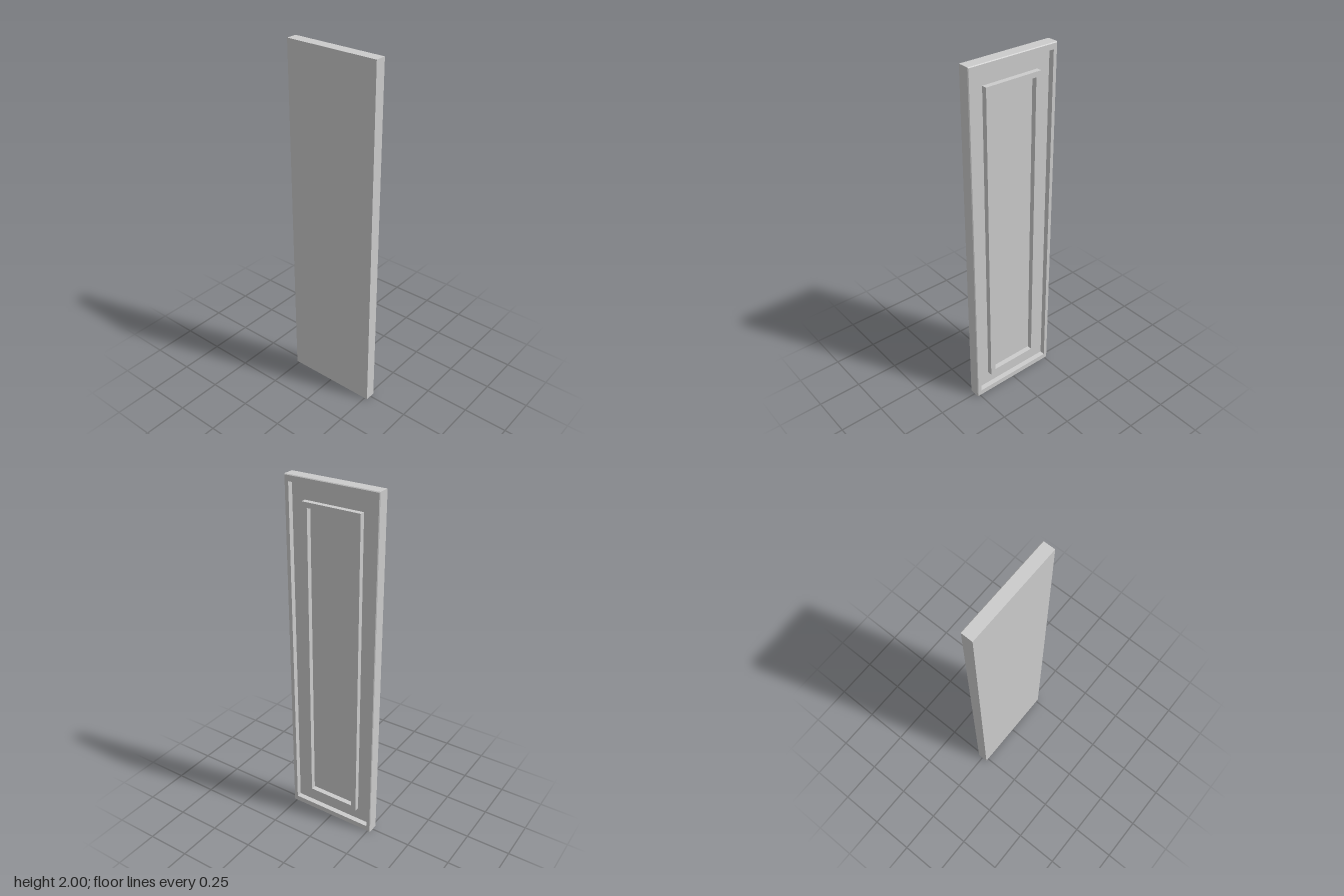
import * as THREE from 'three';

// Skin a series of rectangles [half width, bottom, top, x], running from back to front.
function rectLoft(loops, capped) {
  const rings = loops.map(([w, y0, y1, x]) => [
    [x, y0, w], [x, y0, -w], [x, y1, -w], [x, y1, w],
  ]);
  const pos = [];
  const quad = (a, b, c, d) => pos.push(...a, ...b, ...c, ...a, ...c, ...d);
  for (let i = 0; i < rings.length - 1; i++) {
    const a = rings[i], b = rings[i + 1];
    for (let j = 0; j < 4; j++) {
      const k = (j + 1) % 4;
      quad(a[j], a[k], b[k], b[j]);
    }
  }
  if (capped) {
    const [p, q, r, s] = rings[0];
    quad(s, r, q, p);
    quad(...rings[rings.length - 1]);
  }
  const geometry = new THREE.BufferGeometry();
  geometry.setAttribute('position', new THREE.Float32BufferAttribute(pos, 3));
  geometry.computeVertexNormals();
  return geometry;
}

export function createModel() {
  const group = new THREE.Group();
  group.name = 'cabinetDoor';
  const material = new THREE.MeshStandardMaterial({ color: 0xcccccc, flatShading: true });
  const add = (name, geometry) => {
    const mesh = new THREE.Mesh(geometry, material);
    mesh.name = name;
    group.add(mesh);
  };

  const halfWidth = 0.267, back = -0.033, front = 0.032, floor = 0.002, chamfer = 0.004;

  // Slab with a chamfered outer rim and a recessed face
  add('doorPanel', rectLoft([
    [halfWidth, 0, 2, back],
    [halfWidth, 0, 2, front - chamfer],
    [halfWidth - chamfer, chamfer, 2 - chamfer, front],
    [0.243, 0.035, 1.966, front],
    [0.243, 0.035, 1.966, floor],
  ], true));

  // Raised rectangular frame inside the recess
  add('innerMolding', rectLoft([
    [0.167, 0.112, 1.881, floor],
    [0.167, 0.112, 1.881, front - 0.001],
    [0.137, 0.138, 1.853, front - 0.001],
    [0.137, 0.138, 1.853, floor],
  ], false));

  return group;
}
